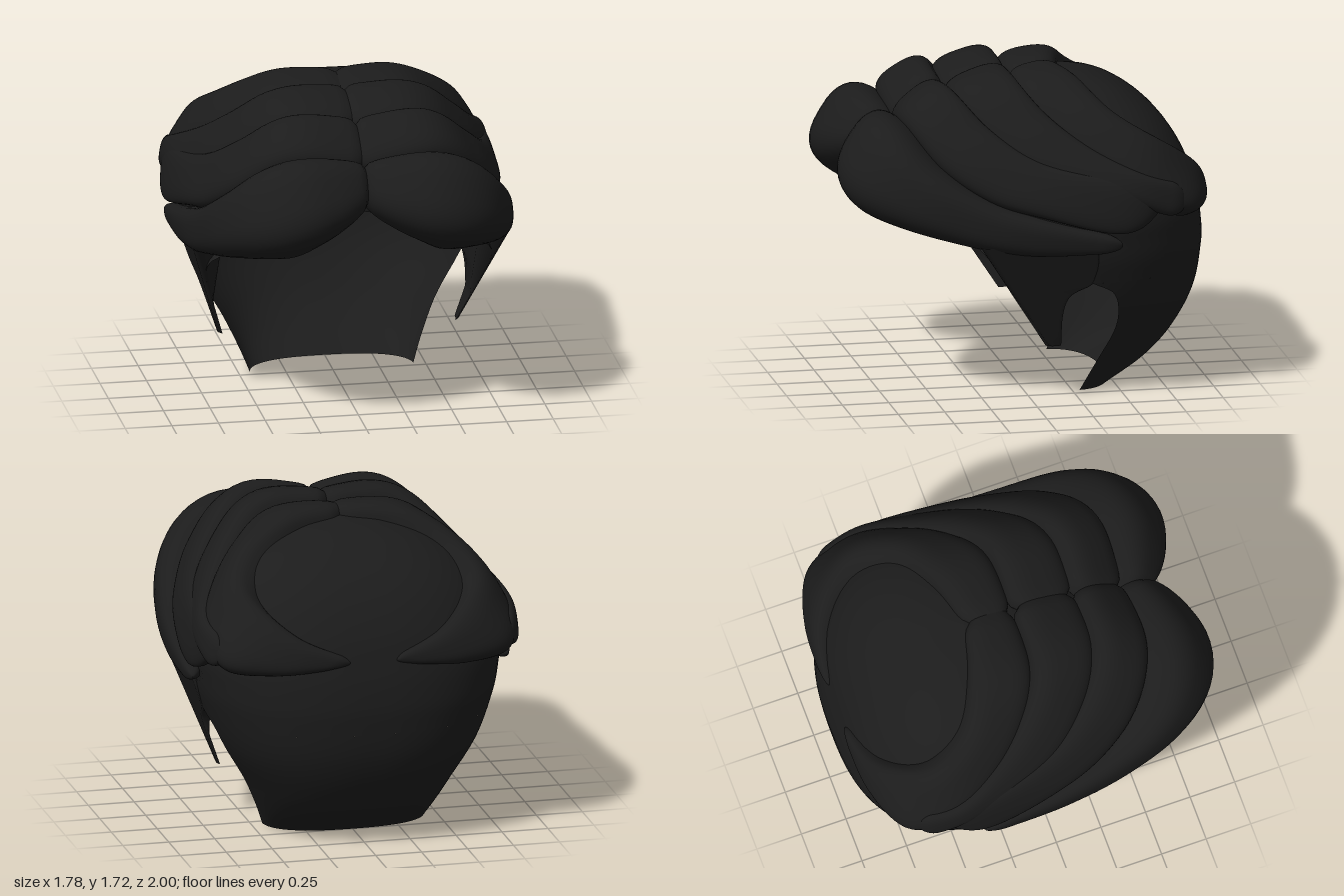
import * as THREE from 'three';

const hair = new THREE.MeshStandardMaterial({ color: 0x1c1c1c, side: THREE.DoubleSide });
const pw = (v, e) => Math.sign(v) * Math.abs(v) ** e;
const curve = (points) => new THREE.CatmullRomCurve3(points.map((p) => new THREE.Vector3(...p)));

// Smooth lookup in a table of [key, value, value, ...] rows
function look(table, col, key) {
  const n = table.length - 1;
  let i = 0;
  while (i < n - 1 && key > table[i + 1][0]) i++;
  const slope = (k) => {
    const a = table[Math.max(k - 1, 0)], b = table[Math.min(k + 1, n)];
    return (b[col] - a[col]) / (b[0] - a[0]);
  };
  const p = table[i], q = table[i + 1], h = q[0] - p[0];
  const t = THREE.MathUtils.clamp((key - p[0]) / h, 0, 1), s = t * t * (3 - 2 * t);
  return p[col] * (1 - s) + q[col] * s
    + h * (slope(i) * t * (1 - t) ** 2 - slope(i + 1) * t * t * (1 - t));
}

// Skin over rows of points; wrap closes each row into a loop
function skin(name, rows, wrap = false, mirror = false) {
  const w = rows[0].length, pos = [], index = [];
  rows.forEach((r) => r.forEach((p) => pos.push(mirror ? -p.x : p.x, p.y, p.z)));
  for (let i = 0; i < rows.length - 1; i++) {
    for (let j = 0; j < (wrap ? w : w - 1); j++) {
      const a = i * w + j, b = i * w + (j + 1) % w, c = a + w, d = b + w;
      if (mirror) index.push(a, c, b, b, c, d);
      else index.push(a, b, c, b, d, c);
    }
  }
  const g = new THREE.BufferGeometry();
  g.setAttribute('position', new THREE.Float32BufferAttribute(pos, 3));
  g.setIndex(index);
  g.computeVertexNormals();
  const mesh = new THREE.Mesh(g, hair);
  mesh.name = name;
  return mesh;
}

// Head form: y, half width, back z, depth in front of the centre line
const CZ = -0.25, POWER = 2.5;
const head = [
  [0, 0.44, -0.5, 1.8], [0.12, 0.49, -0.7, 1.8], [0.27, 0.565, -0.845, 1.8], [0.5, 0.7, -0.96, 1.7],
  [0.75, 0.79, -1, 1.3], [0.88, 0.815, -0.995, 0.8], [1, 0.825, -0.975, 0.76], [1.2, 0.79, -0.915, 0.8],
  [1.4, 0.67, -0.79, 0.6], [1.55, 0.46, -0.61, 0.36], [1.63, 0.2, -0.42, 0.15], [1.65, 0, -0.25, 0],
];
// Front edge of the cap: behind the ear, then up the temple to the brow
const napeEdge = [[0, -0.29], [0.2, -0.38], [0.35, -0.44], [0.48, -0.45], [0.6, -0.41], [0.66, -0.3]];
const templeEdge = [[0.66, 0.16], [0.85, 0.29], [0.93, 0.41], [1.05, 0.5], [1.15, 0.56]];

function capRow(y, edgeZ) {
  const w = look(head, 1, y), back = CZ - look(head, 2, y), front = look(head, 3, y);
  const d = edgeZ - CZ, k = Math.min(Math.abs(d) / (d > 0 ? front : back), 1);
  const start = Math.acos(Math.sign(d) * k ** (POWER / 2));
  return Array.from({ length: 65 }, (_, j) => {
    const a = start + (2 * Math.PI - 2 * start) * j / 64, c = pw(Math.cos(a), 2 / POWER);
    return new THREE.Vector3(w * pw(Math.sin(a), 2 / POWER), y, CZ + c * (c > 0 ? front : back));
  });
}

// Sideburn: thick at the temple, narrowing to a thin tip
function sideburnRows() {
  const notch = [[0.3, -0.15], [0.5, -0.15], [0.6, -0.19], [0.66, -0.3], [0.88, -0.32]];
  return Array.from({ length: 31 }, (_, i) => {
    const y = 0.3 + 0.02 * i;
    const out = 0.645 + (y - 0.3) * 0.335, inn = Math.min(0.69, out - 0.012);
    const f = -0.07 + (y - 0.3) * 0.645, b = look(notch, 1, y);
    return [[out - 0.02, f], [out, f - 0.03], [out, b + 0.02], [out - 0.008, b], [inn, b + 0.005], [inn, f - 0.06]]
      .map(([x, z]) => new THREE.Vector3(x, y, z));
  });
}

// Seams between the locks, from the parting to the tip on the left side
const fringeHem = [[0, 1.22, 0.76], [0.2, 1.12, 0.86], [0.42, 1.03, 0.86], [0.72, 0.9, 0.4], [0.8, 0.845, 0.05], [0.85, 0.845, -0.43]];
const seamA = [[0, 1.44, 0.62], [0.38, 1.47, 0.62], [0.6, 1.29, 0.48], [0.74, 1.13, 0.25], [0.82, 1.04, 0], [0.86, 0.92, -0.45]];
const seamB = [[0, 1.59, 0.36], [0.32, 1.61, 0.35], [0.53, 1.46, 0.21], [0.7, 1.32, -0.02], [0.82, 1.23, -0.45], [0.82, 1.16, -0.68]];
const seamC = [[0, 1.65, 0.02], [0.35, 1.63, 0], [0.52, 1.5, -0.12], [0.67, 1.36, -0.32], [0.79, 1.25, -0.57], [0.77, 1.18, -0.79]];
const crownRim = [[0, 1.64, -0.25], [0.28, 1.61, -0.33], [0.5, 1.51, -0.46], [0.58, 1.39, -0.65], [0.4, 1.2, -0.87], [0.1, 1.07, -0.96]];

// Lower edge of a lock: tucked under the seam before it, then on to its own tip
const tuck = (seam, drop, ...tail) =>
  [...seam.map(([x, y, z], i) => [x, y - 0.06 - drop * i / 5, z]), ...tail];

// bulge and depth give the outer and inner thickness from parting to tip
const locks = [
  { name: 'fringe lock', low: fringeHem, high: seamA, bulge: [0.13, 0.235, 0.1, 0.03], depth: [0.1, 0.18, 0.16, 0.05] },
  { name: 'second lock', low: tuck(seamA, -0.09, [0.8, 1.01, -0.64]), high: seamB, bulge: [0.1, 0.11, 0.06, 0.03], depth: [0.1, 0.1, 0.1, 0.06] },
  { name: 'third lock', low: tuck(seamB, 0.07, [0.79, 1.01, -0.79]), high: seamC, bulge: [0.09, 0.11, 0.08, 0.04], depth: [0.1, 0.1, 0.1, 0.06] },
  { name: 'crown lock', low: tuck(seamC, 0.1, [0.52, 1, -0.91], [0.16, 1.03, -0.955]), high: crownRim, bulge: [0.09, 0.12, 0.1, 0.03], depth: [0.1, 0.1, 0.1, 0.05] },
];

function lockRows({ low, high, bulge, depth }) {
  const L = curve(low), H = curve(high), N = 72, S = 36;
  const at = (list, t) => look(list.map((v, i) => [[0, 0.3, 0.65, 1][i], v]), 1, t);
  return Array.from({ length: N + 1 }, (_, i) => {
    const t = 1 - (1 - i / N) ** 1.4;
    const l = L.getPointAt(t), h = H.getPointAt(t);
    const mid = l.clone().add(h).multiplyScalar(0.5), a = h.clone().sub(mid);
    const n = L.getTangentAt(t).add(H.getTangentAt(t)).cross(a).normalize();
    // Slight pinch at the parting, rounded tip
    const root = t < 0.06 ? 0.78 + 0.22 * Math.sqrt(1 - (1 - t / 0.06) ** 2) : 1;
    const tip = t > 0.94 ? Math.sqrt(Math.max(0, 1 - ((t - 0.94) / 0.06) ** 2)) : 1;
    return Array.from({ length: S }, (_, j) => {
      const q = j / S * Math.PI * 2, c = pw(Math.cos(q), 0.75), s = pw(Math.sin(q), 0.75);
      const p = mid.clone().addScaledVector(a, c * root * tip)
        .addScaledVector(n, s * at(s > 0 ? bulge : depth, t) * root * tip);
      p.x = i === 0 ? 0 : Math.max(p.x, 0);
      return p;
    });
  });
}

export function createModel() {
  const model = new THREE.Group();
  model.name = 'hairpiece';

  // Cap: nape below the ear arch, dome above it
  const nape = [], dome = [];
  for (let i = 0; i <= 48; i++) {
    const s = Math.sin(i / 48 * Math.PI / 2), low = 0.66 * s, high = 0.66 + 0.99 * s;
    nape.push(capRow(low, look(napeEdge, 1, low)));
    dome.push(capRow(high, high > 1.15 ? 2 : look(templeEdge, 1, high)));
  }
  model.add(skin('nape cap', nape), skin('dome cap', dome));

  // Mirrored pairs
  for (const mirror of [false, true]) {
    const side = mirror ? 'right ' : 'left ';
    model.add(skin(side + 'sideburn', sideburnRows(), true, mirror));
    for (const lock of locks) model.add(skin(side + lock.name, lockRows(lock), true, mirror));
  }
  return model;
}
